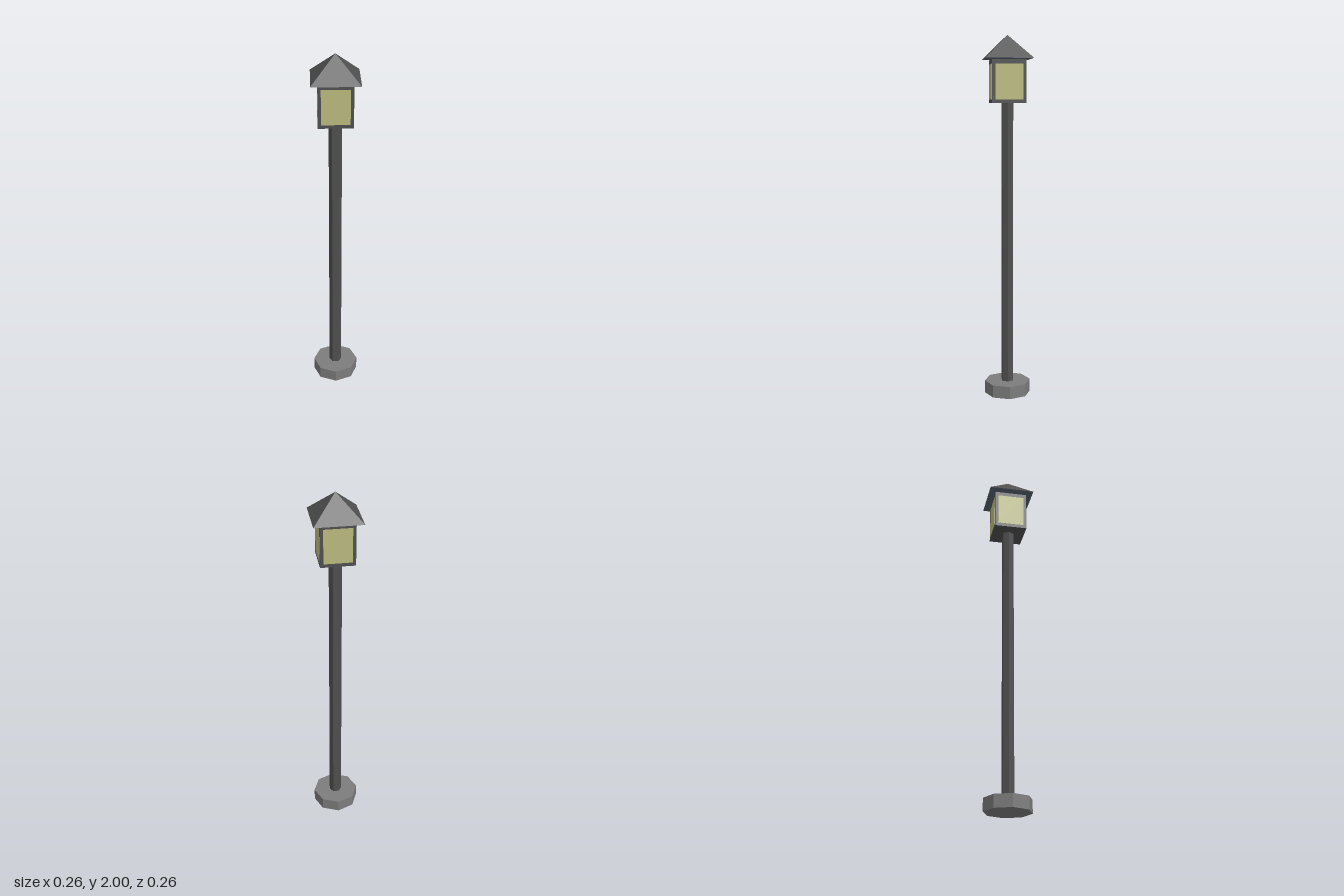
import * as THREE from 'three';

const material = (name, color) => {
  const m = new THREE.MeshStandardMaterial({ color });
  m.name = name;
  m.flatShading = true;
  return m;
};

export function createModel() {
  const metal = material('dark metal', 0x505050);
  const stone = material('grey stone', 0x7c7c7c);
  const glass = material('yellow glass', 0xbcbc80);
  const soffit = material('blue grey soffit', 0x56636f);

  const model = new THREE.Group();
  model.name = 'streetLamp';
  const add = (name, geometry, mat, y, parent = model) => {
    const mesh = new THREE.Mesh(geometry, mat);
    mesh.name = name;
    mesh.position.y = y;
    parent.add(mesh);
  };

  // Octagonal foot and hexagonal post
  add('base', new THREE.CylinderGeometry(0.129, 0.129, 0.07, 8), stone, 0.035);
  const post = new THREE.CylinderGeometry(0.035, 0.035, 1.58, 6);
  post.rotateY(Math.PI / 2);
  add('post', post, metal, 0.86);

  // Square lantern with a pane on each side
  const lantern = new THREE.Group();
  lantern.name = 'lantern';
  model.add(lantern);
  add('lanternFrame', new THREE.BoxGeometry(0.184, 0.23, 0.184), metal, 1.752, lantern);
  for (let i = 0; i < 4; i++) {
    const pane = new THREE.BoxGeometry(0.15, 0.188, 0.002);
    pane.translate(0, 0, 0.092);
    pane.rotateY((i * Math.PI) / 2);
    add('pane' + (i + 1), pane, glass, 1.75, lantern);
  }

  // Pyramid roof: metal slopes, blue grey underside
  const roof = new THREE.ConeGeometry(0.128 * Math.SQRT2, 0.128, 4);
  roof.rotateY(Math.PI / 4);
  add('roof', roof, [metal, soffit, soffit], 1.936);

  return model;
}
